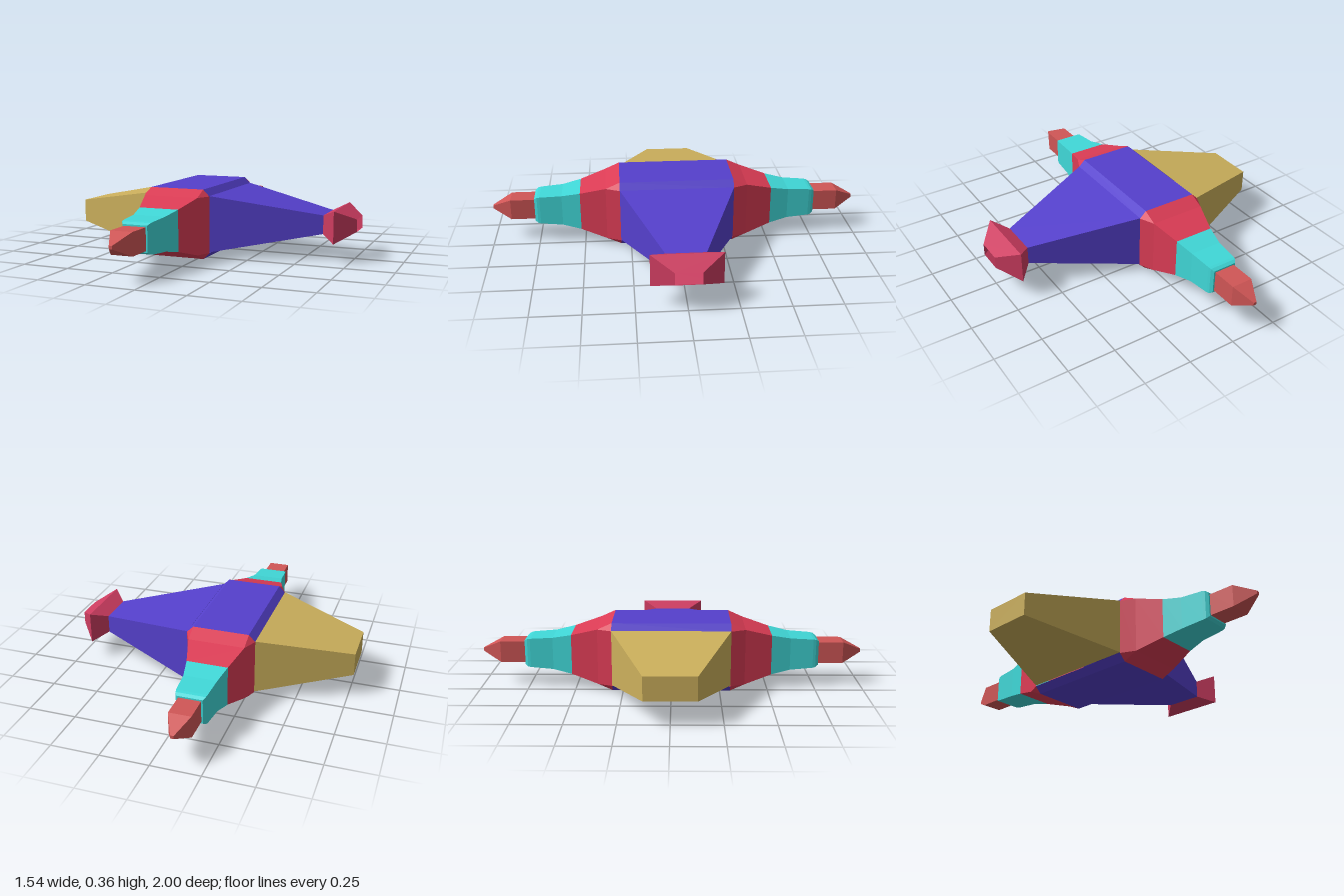
import * as THREE from 'three';

const CX = -0.115, CY = 0.18; // axis of the hull

const material = (color) => new THREE.MeshStandardMaterial({ color, flatShading: true, side: THREE.DoubleSide });
const BLUE = material(0x5540cc), RED = material(0xdc3c55), CYAN = material(0x40d8d8);
const CORAL = material(0xd05656), GOLD = material(0xccb05c), CRIMSON = material(0xcc3c60);

// Skin a row of cross-sections (each counter-clockwise seen from the far end).
function loft(name, mat, rings, { closed = true, capStart = false, capEnd = false } = {}) {
  const pos = [];
  const tri = (a, b, c) => {
    const area = b.clone().sub(a).cross(c.clone().sub(a)).length();
    if (area > 1e-7) for (const p of [a, b, c]) pos.push(p.x, p.y, p.z);
  };
  const n = rings[0].length;
  for (let r = 0; r + 1 < rings.length; r++) {
    const A = rings[r], B = rings[r + 1];
    for (let i = 0; i < (closed ? n : n - 1); i++) {
      const j = (i + 1) % n;
      tri(A[i], A[j], B[j]);
      tri(A[i], B[j], B[i]);
    }
  }
  const last = rings[rings.length - 1];
  for (let i = 1; i + 1 < n; i++) {
    if (capStart) tri(rings[0][0], rings[0][i + 1], rings[0][i]);
    if (capEnd) tri(last[0], last[i], last[i + 1]);
  }
  const geo = new THREE.BufferGeometry();
  geo.setAttribute('position', new THREE.Float32BufferAttribute(pos, 3));
  geo.computeVertexNormals();
  const mesh = new THREE.Mesh(geo, mat);
  mesh.name = name;
  return mesh;
}

// Square section across z with half size h and corner chamfer c.
function zRing(z, h, c = 0) {
  const k = h - c;
  return [[h, -k], [h, k], [k, h], [-k, h], [-h, k], [-h, -k], [-k, -h], [k, -h]]
    .map(([x, y]) => new THREE.Vector3(x, y, z));
}

// Rectangular section across x with half height h and half depth d.
function xRing(x, h, d) {
  return [[-h, -d], [h, -d], [h, d], [-h, d]].map(([y, z]) => new THREE.Vector3(x, y, z));
}

// Tapering arm pointing along +z.
function arm(name) {
  const g = new THREE.Group();
  g.name = name;
  g.add(loft('armRoot', RED, [zRing(0.305, 0.18, 0.034), zRing(0.38, 0.146), zRing(0.52, 0.105)]));
  g.add(loft('armSleeve', CYAN, [
    zRing(0.52, 0.105), zRing(0.62, 0.085), zRing(0.74, 0.077),
    zRing(0.755, 0.074), zRing(0.77, 0.064), zRing(0.77, 0.055),
  ]));
  g.add(loft('armTip', CORAL, [zRing(0.77, 0.056), zRing(0.9, 0.056), zRing(1, 0.008)], { capEnd: true }));
  return g;
}

export function createModel() {
  const model = new THREE.Group();
  model.name = 'craft';

  // Hull: chamfered deck and matching underside, sides continue into the wings
  const hull = new THREE.Group();
  hull.name = 'hull';
  hull.position.set(CX, CY, 0);
  const strip = (z) => zRing(z, 0.18, 0.034).slice(1, 5);
  for (const [name, turn] of [['hullDeck', 0], ['hullUnderside', Math.PI]]) {
    const half = loft(name, BLUE, [strip(-0.305), strip(0.305)], { closed: false });
    half.rotation.z = turn;
    hull.add(half);
  }

  // Front and rear arms
  const frontArm = arm('frontArm');
  const rearArm = arm('rearArm');
  rearArm.rotation.y = Math.PI;
  hull.add(frontArm, rearArm);
  model.add(hull);

  // Side wings and the open flared nozzle
  const sides = new THREE.Group();
  sides.name = 'sides';
  sides.position.y = CY + 0.003;
  sides.add(
    loft('rightWing', GOLD, [xRing(-0.77, 0.06, 0.127), xRing(-0.295, 0.145, 0.305)], { capStart: true }),
    loft('leftWing', BLUE, [xRing(0.065, 0.145, 0.305), xRing(0.605, 0.048, 0.1)]),
    loft('nozzle', CRIMSON, [xRing(0.605, 0.048, 0.1), xRing(0.677, 0.083, 0.177), xRing(0.77, 0.032, 0.066)]),
  );
  model.add(sides);
  return model;
}
